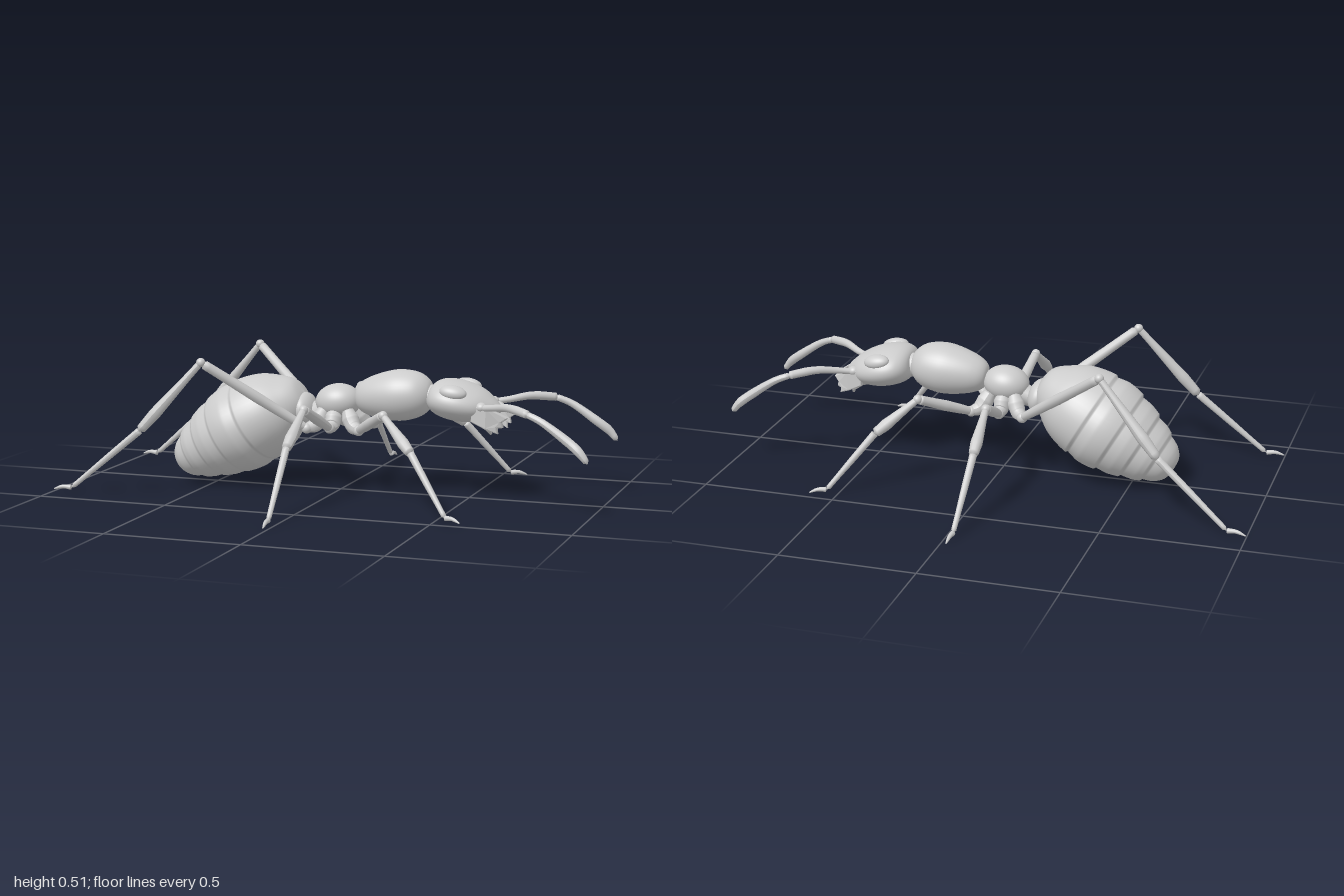
import * as THREE from 'three';

const material = new THREE.MeshStandardMaterial({ color: 0xcccccc });
const vec = (p) => new THREE.Vector3(...p);

function add(parent, name, geometry) {
  const mesh = new THREE.Mesh(geometry, material);
  mesh.name = name;
  parent.add(mesh);
  return mesh;
}

function ellipsoid(parent, name, centre, radii, tilt = 0) {
  const mesh = add(parent, name, new THREE.SphereGeometry(1, 40, 28));
  mesh.position.set(...centre);
  mesh.scale.set(...radii);
  mesh.rotation.z = tilt;
  return mesh;
}

// Smooth body of revolution: profile is [radius, distance along the axis]
function turned(parent, name, profile, start, angle, height, width, groove = () => 0) {
  const curve = new THREE.SplineCurve(profile.map((p) => new THREE.Vector2(...p)));
  const points = curve.getSpacedPoints(110);
  points.forEach((p) => { p.x = Math.max(0, p.x - groove(p.y)); });
  const mesh = add(parent, name, new THREE.LatheGeometry(points, 48));
  mesh.position.set(...start);
  mesh.rotation.z = angle - Math.PI / 2;
  mesh.scale.set(height, 1, width);
  return mesh;
}

// Tube whose radius follows a list of values spread evenly along it, with closed ends
function limb(parent, name, path, radii, round = 0.5) {
  const curve = new THREE.CatmullRomCurve3(path.map(vec), false, 'catmullrom', round);
  const rings = 28, sides = 12;
  const geometry = new THREE.TubeGeometry(curve, rings, 1, sides);
  const position = geometry.attributes.position;
  const v = new THREE.Vector3();
  for (let i = 0; i <= rings; i++) {
    const t = i / rings, f = t * (radii.length - 1);
    const k = Math.min(Math.floor(f), radii.length - 2);
    let r = THREE.MathUtils.lerp(radii[k], radii[k + 1], f - k);
    if (i === 0 || i === rings) r = 0.0002;
    const c = curve.getPointAt(t);
    for (let j = 0; j <= sides; j++) {
      const n = i * (sides + 1) + j;
      v.fromBufferAttribute(position, n).sub(c).multiplyScalar(r).add(c);
      position.setXYZ(n, v.x, v.y, v.z);
    }
  }
  geometry.computeVertexNormals();
  return add(parent, name, geometry);
}

// Leg joints for one side: body, hip, knee, ankle, heel, toe
const LEGS = {
  frontLeg: [[0.04, 0.31, 0.04], [0.10, 0.245, 0.09], [0.25, 0.335, 0.26], [0.385, 0.22, 0.355], [0.54, 0.02, 0.45], [0.6, 0.01, 0.475]],
  middleLeg: [[-0.01, 0.31, 0.04], [-0.01, 0.25, 0.10], [-0.03, 0.35, 0.32], [-0.035, 0.235, 0.485], [-0.025, 0.02, 0.685], [-0.02, 0.005, 0.75]],
  hindLeg: [[-0.05, 0.31, 0.04], [-0.10, 0.245, 0.10], [-0.44, 0.5, 0.295], [-0.67, 0.24, 0.345], [-0.93, 0.02, 0.385], [-1.0, 0.012, 0.395]],
};

function makeLeg(name, [body, hip, knee, ankle, heel, toe]) {
  const leg = new THREE.Group();
  leg.name = name;
  const mid = body.map((b, i) => (b + hip[i]) / 2 + (i === 1 ? -0.02 : 0));
  limb(leg, 'coxa', [body, mid, hip], [0.022, 0.032, 0.028, 0.018]);
  ellipsoid(leg, 'hipJoint', hip, [0.02, 0.02, 0.02]);
  limb(leg, 'femur', [hip, knee], [0.014, 0.018, 0.02, 0.018, 0.017]);
  ellipsoid(leg, 'kneeJoint', knee, [0.017, 0.017, 0.017]);
  limb(leg, 'tibia', [knee, ankle], [0.012, 0.014, 0.018, 0.022, 0.017]);
  limb(leg, 'tarsus', [ankle, heel], [0.014, 0.013, 0.012, 0.01, 0.009]);
  const arch = heel.map((h, i) => (h + toe[i]) / 2 + (i === 1 ? 0.006 : 0));
  limb(leg, 'claw', [heel, arch, toe], [0.01, 0.008, 0.006, 0.002]);
  return leg;
}

// Head appendages of one side
function makeFace() {
  const face = new THREE.Group();
  face.name = 'faceSide';
  const eye = ellipsoid(face, 'eye', [0.465, 0.408, 0.108], [0.05, 0.024, 0.03], -0.15);
  eye.rotation.x = 0.5;
  ellipsoid(face, 'antennaSocket', [0.565, 0.355, 0.085], [0.022, 0.018, 0.022]);
  limb(face, 'antennaScape', [[0.55, 0.35, 0.08], [0.62, 0.36, 0.115], [0.69, 0.37, 0.165], [0.775, 0.36, 0.225]],
    [0.012, 0.012, 0.014, 0.016, 0.015]);
  limb(face, 'antennaTip', [[0.765, 0.362, 0.22], [0.83, 0.335, 0.233], [0.92, 0.275, 0.24], [0.965, 0.24, 0.25], [0.995, 0.203, 0.252]],
    [0.012, 0.013, 0.015, 0.017, 0.017, 0.01]);

  // Mandible: toothed blade bent inwards towards its tip
  const blade = new THREE.Shape([
    [0, 0.03], [0.05, 0.022], [0.115, -0.015], [0.095, -0.028], [0.1, -0.045],
    [0.082, -0.045], [0.085, -0.065], [0.05, -0.048], [0, -0.025],
  ].map((p) => new THREE.Vector2(...p)));
  const geometry = new THREE.ExtrudeGeometry(blade, {
    depth: 0.014, bevelEnabled: true, bevelSize: 0.005, bevelThickness: 0.005, bevelSegments: 2,
  });
  const position = geometry.attributes.position;
  for (let i = 0; i < position.count; i++) {
    const x = position.getX(i);
    position.setZ(i, position.getZ(i) + 0.2 * x - 5 * x * x);
  }
  geometry.computeVertexNormals();
  const mandible = add(face, 'mandible', geometry);
  mandible.position.set(0.535, 0.33, 0.085);
  limb(face, 'palp', [[0.53, 0.305, 0.04], [0.575, 0.275, 0.05], [0.59, 0.25, 0.03]], [0.009, 0.009, 0.005]);
  return face;
}

export function createModel() {
  const model = new THREE.Group();
  model.name = 'ant';

  // Abdomen with overlapping bands
  const bands = [0.2, 0.32, 0.41, 0.48];
  const groove = (d) => {
    let depth = 0;
    for (const b of bands) if (d > b && d < b + 0.045) depth = 0.008 * (1 - (d - b) / 0.045);
    return depth;
  };
  turned(model, 'abdomen', [
    [0, -0.03], [0.06, -0.015], [0.105, 0.035], [0.145, 0.1], [0.166, 0.18], [0.17, 0.26],
    [0.158, 0.33], [0.133, 0.41], [0.108, 0.47], [0.08, 0.52], [0.045, 0.553], [0, 0.56],
  ], [-0.17, 0.35, 0], Math.PI + 0.527, 1, 1.13, groove);

  // Waist and thorax
  ellipsoid(model, 'waist', [-0.14, 0.3, 0], [0.042, 0.065, 0.08], 0.15);
  limb(model, 'waistStalk', [[-0.2, 0.28, 0], [-0.12, 0.29, 0], [-0.04, 0.32, 0]], [0.04, 0.035, 0.04]);
  ellipsoid(model, 'rearThorax', [-0.01, 0.338, 0], [0.087, 0.066, 0.075], 0.1);
  turned(model, 'frontThorax', [
    [0, 0], [0.045, 0.012], [0.073, 0.05], [0.094, 0.12], [0.1, 0.185], [0.085, 0.25], [0.05, 0.29], [0, 0.305],
  ], [0.06, 0.355, 0], 0.1, 0.95, 1);

  // Head
  ellipsoid(model, 'neck', [0.355, 0.372, 0], [0.05, 0.045, 0.05]);
  turned(model, 'head', [
    [0, 0], [0.075, 0.004], [0.12, 0.03], [0.14, 0.075], [0.138, 0.13], [0.115, 0.185],
    [0.075, 0.228], [0.035, 0.258], [0, 0.268],
  ], [0.355, 0.385, 0], -0.2, 0.52, 1);
  ellipsoid(model, 'mouth', [0.54, 0.31, 0], [0.06, 0.03, 0.07], -0.2);

  // Mirrored sides
  for (const side of [1, -1]) {
    const half = new THREE.Group();
    half.name = side > 0 ? 'rightSide' : 'leftSide';
    half.scale.z = side;
    half.add(makeFace());
    for (const [name, joints] of Object.entries(LEGS)) half.add(makeLeg(name, joints));
    model.add(half);
  }
  return model;
}
